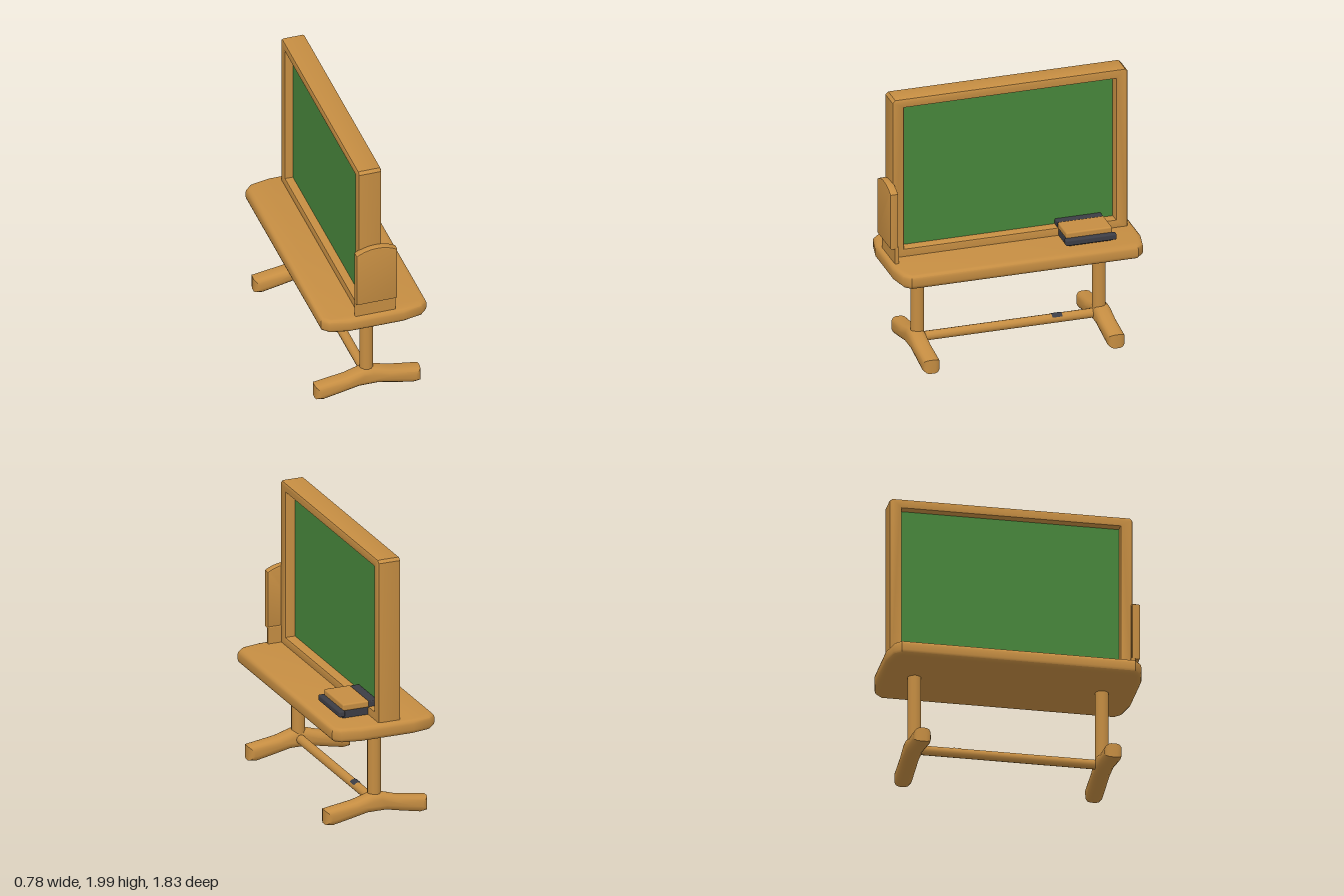
import * as THREE from 'three';
import { toCreasedNormals } from 'three/addons/utils/BufferGeometryUtils.js';
import { RoundedBoxGeometry } from 'three/addons/geometries/RoundedBoxGeometry.js';

export function createModel() {
  const model = new THREE.Group();
  model.name = 'chalkboardTable';
  const material = (name, color) => {
    const m = new THREE.MeshStandardMaterial({ color });
    m.name = name;
    return m;
  };
  const wood = material('wood', 0xc58d42);
  const green = material('boardGreen', 0x47863b);
  const dark = material('darkFelt', 0x3c3d45);

  const add = (name, geometry, mat, x = 0, y = 0, z = 0) => {
    const mesh = new THREE.Mesh(geometry, mat);
    mesh.name = name;
    mesh.position.set(x, y, z);
    model.add(mesh);
    return mesh;
  };
  // Rounded box given by its minimum and maximum on each axis
  const block = (name, mat, [x0, x1], [y0, y1], [z0, z1], r) =>
    add(name, new RoundedBoxGeometry(x1 - x0, y1 - y0, z1 - z0, 2, r), mat,
      (x0 + x1) / 2, (y0 + y1) / 2, (z0 + z1) / 2);
  const outline = (pts) => new THREE.Shape(pts.map(([x, y]) => new THREE.Vector2(x, y)));
  // Extrusion with rounded edges, centred on z, that stays inside its outline
  const slab = (shape, depth, bevel, segments = 3) => {
    const g = new THREE.ExtrudeGeometry(shape, {
      depth: depth - 2 * bevel, bevelEnabled: true, bevelThickness: bevel,
      bevelSize: bevel, bevelOffset: -bevel, bevelSegments: segments, curveSegments: 12,
    });
    g.translate(0, 0, bevel - depth / 2);
    return toCreasedNormals(g, 0.7);
  };

  // Table top with clipped corners
  const top = outline([
    [-0.39, -0.835], [-0.34, -0.885], [-0.2, -0.915], [0.2, -0.915], [0.34, -0.885], [0.39, -0.835],
    [0.39, 0.835], [0.34, 0.885], [0.2, 0.915], [-0.2, 0.915], [-0.34, 0.885], [-0.39, 0.835],
  ]);
  add('tableTop', slab(top, 0.105, 0.032).rotateX(Math.PI / 2), wood, 0, 0.732, 0);

  // Board frame with clipped top corners, around a deeply recessed panel
  const frame = outline([
    [-0.868, 0.77], [0.868, 0.77], [0.868, 1.98], [0.848, 2], [-0.848, 2], [-0.868, 1.98],
  ]);
  frame.holes.push(new THREE.Path([
    [-0.78, 0.843], [-0.78, 1.93], [0.78, 1.93], [0.78, 0.843],
  ].map(([x, y]) => new THREE.Vector2(x, y))));
  add('boardFrame', slab(frame, 0.17, 0.014, 2).rotateY(Math.PI / 2), wood, -0.035, 0, 0);
  add('boardPanel', new THREE.BoxGeometry(0.035, 1.1, 1.57), green, -0.042, 1.387, 0);

  // Arched plaque and its foot block on the front end
  const plaque = outline([[-0.15, 0.9], [0.15, 0.9], [0.15, 1.32]]);
  plaque.quadraticCurveTo(0.08, 1.362, 0, 1.362);
  plaque.quadraticCurveTo(-0.08, 1.362, -0.15, 1.32);
  add('plaque', slab(plaque, 0.06, 0.01, 2), wood, 0, 0, 0.886);
  block('plaqueBase', wood, [-0.15, 0.15], [0.77, 0.91], [0.85, 0.882], 0.008);

  // Trestle: a post and a splayed, rounded foot at each end
  const foot = outline([
    [-0.388, 0.014], [-0.33, 0.006], [-0.2, 0.032], [-0.07, 0.06],
    [0.07, 0.06], [0.2, 0.032], [0.33, 0.006], [0.388, 0.014],
    [0.388, 0.118], [0.16, 0.153], [0.04, 0.19], [-0.04, 0.19], [-0.16, 0.153], [-0.388, 0.118],
  ]);
  for (const side of [1, -1]) {
    const end = side > 0 ? 'front' : 'back';
    add(end + 'Post', new THREE.CylinderGeometry(0.049, 0.049, 0.56, 12), wood, 0, 0.42, side * 0.67);
    add(end + 'Foot', slab(foot, 0.125, 0.042), wood, 0, 0, side * 0.682);
  }

  // Stretcher rail with a thin dark mark wrapped over its top
  add('stretcher', new THREE.CylinderGeometry(0.034, 0.034, 1.34, 12).rotateX(Math.PI / 2),
    wood, 0, 0.126, 0);
  add('railMark', new THREE.CylinderGeometry(0.037, 0.037, 0.075, 8, 1, true, 2.1, 1.8)
    .rotateX(Math.PI / 2), dark, 0, 0.126, -0.355);

  // Eraser lying against the board, its dark rear edge reaching into the recess
  block('eraserBack', wood, [0.045, 0.245], [0.838, 0.888], [-0.69, -0.35], 0.012);
  block('eraserFelt', dark, [0.045, 0.245], [0.78, 0.842], [-0.685, -0.355], 0.01);
  block('eraserEdge', dark, [0.235, 0.284], [0.802, 0.848], [-0.712, -0.336], 0.012);
  block('eraserRearEdge', dark, [-0.024, 0.046], [0.838, 0.884], [-0.69, -0.35], 0.008);

  return model;
}
